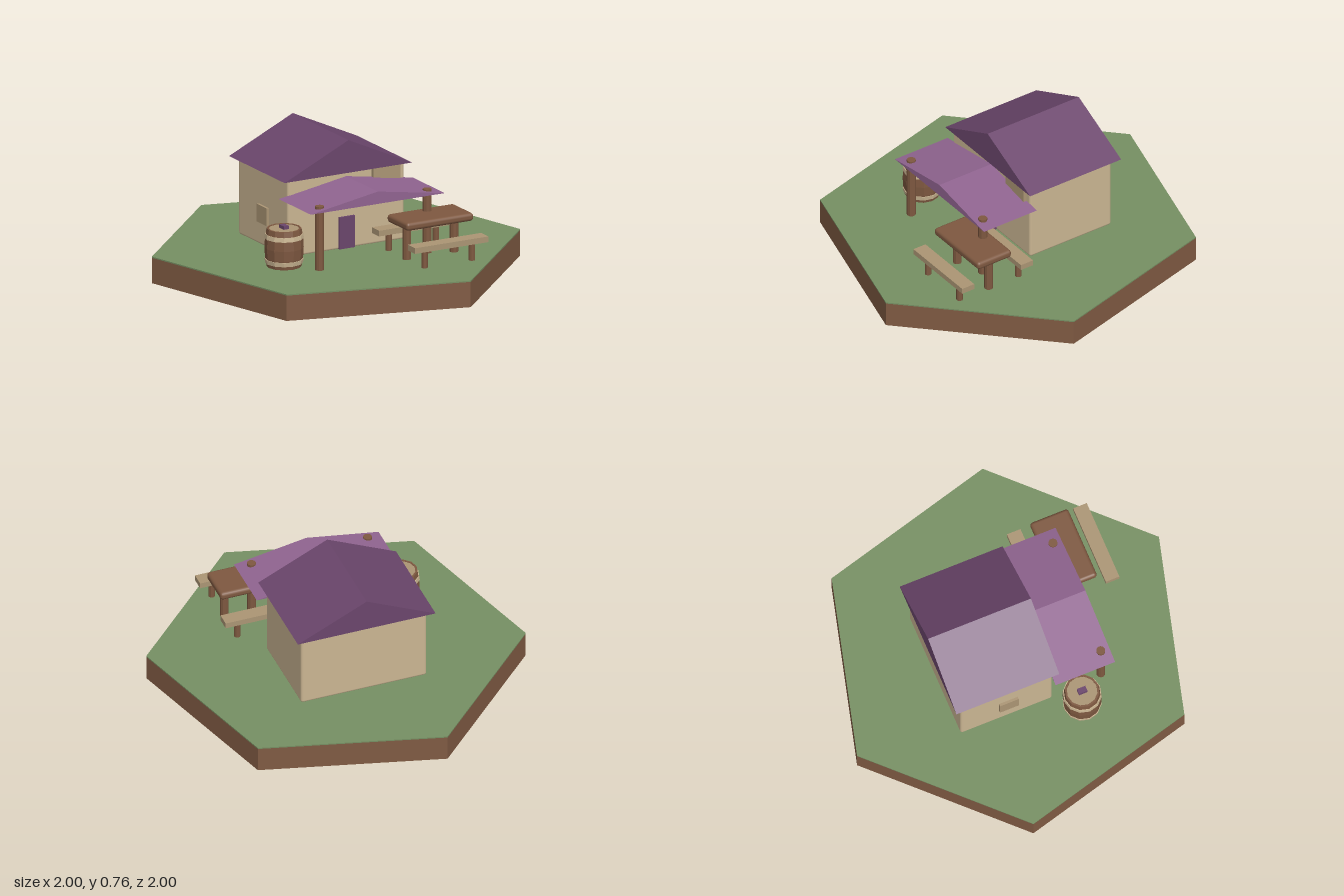
import * as THREE from 'three';
import { RoundedBoxGeometry } from 'three/addons/geometries/RoundedBoxGeometry.js';

const material = (name, color) => {
  const m = new THREE.MeshStandardMaterial({ color });
  m.name = name;
  return m;
};

// Facet every side of a geometry
function faceted(geometry) {
  const g = geometry.index ? geometry.toNonIndexed() : geometry;
  g.computeVertexNormals();
  return g;
}

export function createModel() {
  const root = new THREE.Group();
  root.name = 'gardenTavern';
  const grass = material('grass', 0x769063);
  const earth = material('earth', 0x805b43);
  const wood = material('wood', 0x7e5840);
  const plaster = material('plaster', 0xcab592);
  const paleWood = material('paleWood', 0xab9574);
  const purple = material('roofPurple', 0x6b466c);
  const lilac = material('canopyLilac', 0x906490);

  const add = (name, geometry, mat, x = 0, y = 0, z = 0, parent = root) => {
    const mesh = new THREE.Mesh(geometry, mat);
    mesh.name = name;
    mesh.position.set(x, y, z);
    parent.add(mesh);
    return mesh;
  };
  const box = (w, h, d) => new THREE.BoxGeometry(w, h, d);
  const pole = (r, h, sides = 10) => faceted(new THREE.CylinderGeometry(r, r, h, sides));
  const group = (name, x = 0, y = 0, z = 0) => {
    const g = new THREE.Group();
    g.name = name;
    g.position.set(x, y, z);
    root.add(g);
    return g;
  };
  // Flat outline extruded from z = 0 forward
  const plate = (points, depth) => new THREE.ExtrudeGeometry(
    new THREE.Shape(points.map(([x, y]) => new THREE.Vector2(x, y))),
    { depth, bevelEnabled: false });
  const gable = (halfWidth, height, depth) =>
    plate([[-halfWidth, 0], [halfWidth, 0], [0, height]], depth);

  // Hexagonal ground slab with a thin turf layer
  const hexagon = (h) => faceted(
    new THREE.CylinderGeometry(1.035, 1.035, h, 6, 1, false, Math.PI / 12));
  add('ground', hexagon(0.143), earth, 0, 0.0715, 0);
  add('turf', hexagon(0.007), grass, 0, 0.1465, 0);

  // House
  add('houseWalls', new RoundedBoxGeometry(0.73, 0.44, 0.54, 2, 0.015), plaster, 0, 0.365, -0.16);
  add('houseRoof', gable(0.4, 0.185, 0.605), purple, 0, 0.58, -0.47);
  add('door', box(0.095, 0.18, 0.02), purple, 0, 0.24, 0.113);
  add('window', box(0.025, 0.1, 0.11), paleWood, -0.367, 0.325, -0.15);
  add('hangingSign', plate(
    [[-0.085, 0.03], [-0.085, -0.09], [0, -0.115], [0.085, -0.09], [0.085, 0.03]], 0.022),
  paleWood, 0.245, 0.58, 0.108);

  // Canopy on two posts
  add('canopy', gable(0.42, 0.07, 0.35), lilac, 0, 0.485, 0.105);
  for (const side of [-1, 1]) {
    add('canopyPost', pole(0.025, 0.36), wood, side * 0.337, 0.33, 0.405);
  }

  // Table
  const table = group('table', 0.325, 0.15, 0.462);
  add('tableTop', new RoundedBoxGeometry(0.42, 0.046, 0.225, 2, 0.018), wood, 0, 0.213, 0, table);
  for (const side of [-1, 1]) {
    add('tableLeg', pole(0.024, 0.2), wood, side * 0.148, 0.1, 0, table);
  }

  // Benches on both sides of the table
  for (const z of [0.265, 0.655]) {
    const bench = group('bench', 0.325, 0.15, z);
    add('benchSeat', box(0.46, 0.032, 0.08), paleWood, 0, 0.115, 0, bench);
    for (const side of [-1, 1]) {
      add('benchLeg', pole(0.018, 0.1), wood, side * 0.148, 0.05, 0, bench);
    }
  }

  // Barrel with hoops, lid and handle
  const barrel = group('barrel', -0.465, 0.15, 0.242);
  const radiusAt = (y) => 0.107 - 0.012 * ((y - 0.107) / 0.107) ** 2;
  const lathe = (points) => faceted(
    new THREE.LatheGeometry(points.map(([r, y]) => new THREE.Vector2(r, y)), 12));
  add('staves', lathe([[0, 0], ...[0, 0.05, 0.107, 0.165, 0.214].map((y) => [radiusAt(y), y]),
    [0.084, 0.214], [0.084, 0.206], [0, 0.206]]), wood, 0, 0, 0, barrel);
  for (const y of [0.032, 0.172]) {
    const r0 = radiusAt(y - 0.012);
    const r1 = radiusAt(y + 0.012);
    add('hoop', lathe([[r0 - 0.01, y - 0.012], [r0 + 0.004, y - 0.012],
      [r1 + 0.004, y + 0.012], [r1 - 0.01, y + 0.012]]), plaster, 0, 0, 0, barrel);
  }
  add('lid', pole(0.084, 0.008, 12), paleWood, 0, 0.207, 0, barrel);
  add('lidHandle', box(0.032, 0.022, 0.05), purple, 0, 0.219, 0, barrel);

  return root;
}
